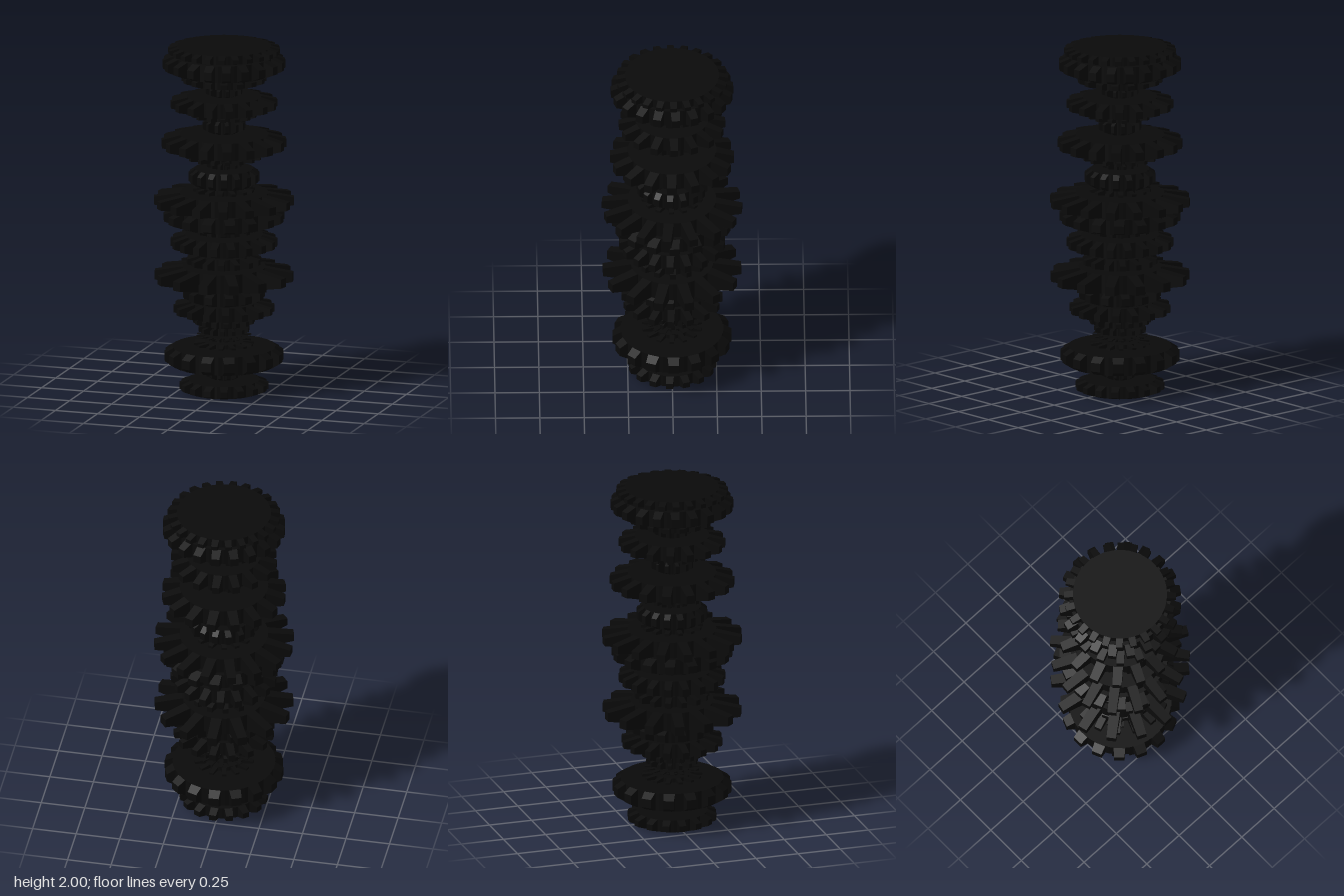
import * as THREE from 'three';
import { mergeGeometries } from 'three/addons/utils/BufferGeometryUtils.js';

// Gear stack from bottom to top: [bottom y, thickness, tip radius, root radius]
const GEARS = [
  [0, 0.07, 0.25, 0.2], [0.075, 0.075, 0.105, 0.065], [0.157, 0.105, 0.335, 0.29],
  [0.267, 0.024, 0.17, 0.11], [0.297, 0.016, 0.09, 0.06], [0.322, 0.008, 0.155, 0.11],
  [0.338, 0.05, 0.145, 0.09], [0.39, 0.05, 0.175, 0.13], [0.442, 0.08, 0.285, 0.19],
  [0.525, 0.085, 0.23, 0.17], [0.617, 0.108, 0.39, 0.235], [0.727, 0.063, 0.21, 0.14],
  [0.792, 0.028, 0.08, 0.06], [0.82, 0.09, 0.3, 0.22], [0.917, 0.053, 0.18, 0.13],
  [0.972, 0.088, 0.34, 0.275], [1.06, 0.093, 0.395, 0.25], [1.156, 0.03, 0.175, 0.12],
  [1.197, 0.095, 0.2, 0.165], [1.295, 0.037, 0.1, 0.06], [1.342, 0.042, 0.215, 0.12],
  [1.39, 0.1, 0.35, 0.25], [1.5, 0.083, 0.12, 0.075], [1.585, 0.038, 0.185, 0.12],
  [1.625, 0.085, 0.3, 0.21], [1.712, 0.058, 0.105, 0.065], [1.775, 0.01, 0.11, 0.08],
  [1.787, 0.053, 0.24, 0.19], [1.85, 0.097, 0.345, 0.285], [1.95, 0.05, 0.315, 0.265],
];
const TEETH = [16, 12, 16, 14, 12, 16, 14, 16, 16, 12, 14, 14, 12, 18, 14,
  16, 16, 14, 16, 12, 16, 16, 12, 14, 16, 12, 14, 16, 20, 24];
const PHASE = { 10: -12, 16: -5 }; // degrees; the rest follow a simple rule

// Tooth along +x: a box that gets thinner and a little narrower at its tip
function toothGeometry(h, tip, root, n) {
  const inner = root * 0.88;
  const width = ((2 * Math.PI * root) / n) * 0.58;
  const geo = new THREE.BoxGeometry(tip - inner, h, width, 2, 1, 1);
  geo.translate((tip + inner) / 2, 0, 0);
  const p = geo.attributes.position;
  for (let i = 0; i < p.count; i++) {
    const x = p.getX(i);
    if (x > tip - 1e-4) {
      p.setY(i, p.getY(i) * 0.48);
      p.setZ(i, p.getZ(i) * 0.88);
    } else if (x > inner + 1e-4) {
      p.setX(i, root);
    }
  }
  geo.computeVertexNormals();
  return geo;
}

// Disc body with teeth spread around its rim
function gearGeometry(h, tip, root, n) {
  const parts = [new THREE.CylinderGeometry(root, root, h, n * 2)];
  const tooth = toothGeometry(h, tip, root, n);
  for (let i = 0; i < n; i++) parts.push(tooth.clone().rotateY((i / n) * Math.PI * 2));
  return mergeGeometries(parts);
}

export function createModel() {
  const group = new THREE.Group();
  group.name = 'gearStack';
  const black = new THREE.MeshStandardMaterial({ color: 0x0a0a0a, flatShading: true });

  // Central shaft
  const shaft = new THREE.Mesh(new THREE.CylinderGeometry(0.03, 0.03, 1.98, 16), black);
  shaft.name = 'shaft';
  shaft.position.y = 1;
  group.add(shaft);

  // Gears
  GEARS.forEach(([y, h, tip, root], i) => {
    const gear = new THREE.Mesh(gearGeometry(h, tip, root, TEETH[i]), black);
    gear.name = `gear${i + 1}`;
    gear.position.y = y + h / 2;
    gear.rotation.y = THREE.MathUtils.degToRad(PHASE[i] ?? ((i * 7) % 9) - 4);
    group.add(gear);
  });
  return group;
}
